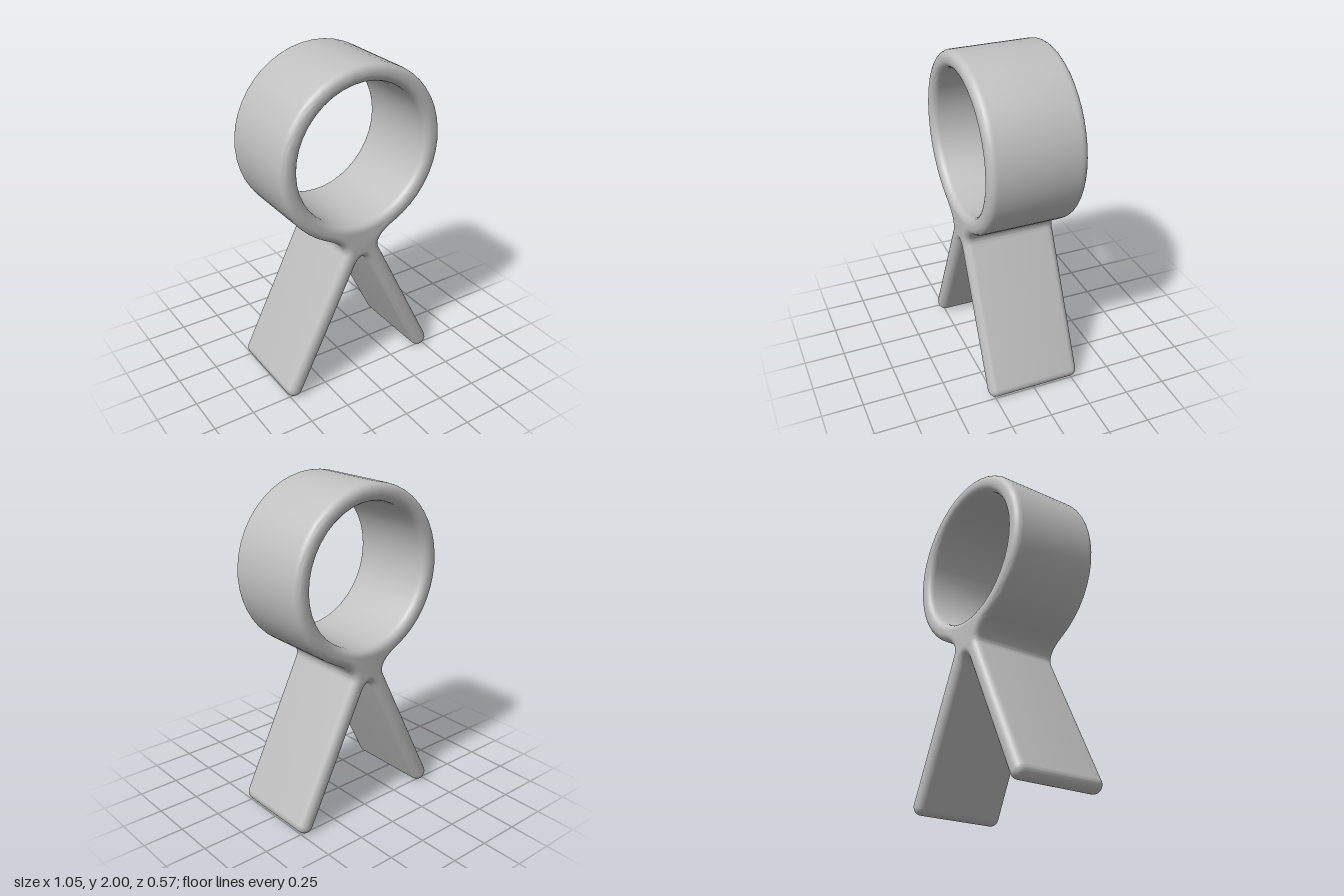
import * as THREE from 'three';
import { toCreasedNormals } from 'three/addons/utils/BufferGeometryUtils.js';

const BEVEL = 0.045;   // rounding of the front and back rims
const DEPTH = 0.57;    // full front-to-back width
const RING_Y = 1.475, OUTER = 0.525, INNER = 0.421;
const FOOT_X = 0.467, FOOT_Y = 0.053, FOOT_R = 0.051;
const LEG = 0.459;     // angle of the leg's outward normal above horizontal
const JOIN = 0.453;    // angle from straight down where the fillets meet the ring

// Outline of ring, filleted neck and two splayed legs, counter-clockwise
function outline() {
  const s = new THREE.Shape();
  const joinX = OUTER * Math.sin(JOIN), joinY = RING_Y - OUTER * Math.cos(JOIN);
  // crotch
  s.moveTo(-0.051, 0.78);
  s.quadraticCurveTo(0, 0.885, 0.051, 0.78);
  // left leg with rounded foot
  s.absarc(FOOT_X, FOOT_Y, FOOT_R, LEG - Math.PI, LEG, false);
  s.lineTo(0.1224, 0.865);
  s.quadraticCurveTo(0.088, 0.934, joinX, joinY);
  // ring
  s.absarc(0, RING_Y, OUTER, JOIN - Math.PI / 2, Math.PI * 1.5 - JOIN, false);
  // right leg with rounded foot
  s.quadraticCurveTo(-0.088, 0.934, -0.1224, 0.865);
  s.absarc(-FOOT_X, FOOT_Y, FOOT_R, Math.PI - LEG, Math.PI * 2 - LEG, false);
  s.closePath();
  // opening
  const hole = new THREE.Path();
  hole.absarc(0, RING_Y + 0.002, INNER, 0, Math.PI * 2, true);
  s.holes.push(hole);
  return s;
}

export function createModel() {
  const group = new THREE.Group();
  group.name = 'ringOnLegs';
  const grey = new THREE.MeshStandardMaterial({ color: 0xc0c0c0 });
  grey.name = 'light grey';

  // one continuous band, rounded on all rims
  const geometry = new THREE.ExtrudeGeometry(outline(), {
    depth: DEPTH - 2 * BEVEL,
    curveSegments: 20,
    bevelEnabled: true,
    bevelThickness: BEVEL,
    bevelSize: BEVEL,
    bevelOffset: -BEVEL,
    bevelSegments: 6,
  });
  geometry.translate(0, 0, -DEPTH / 2 + BEVEL);
  geometry.clearGroups();

  const band = new THREE.Mesh(toCreasedNormals(geometry, 0.6), grey);
  band.name = 'ringAndLegs';
  group.add(band);
  return group;
}
